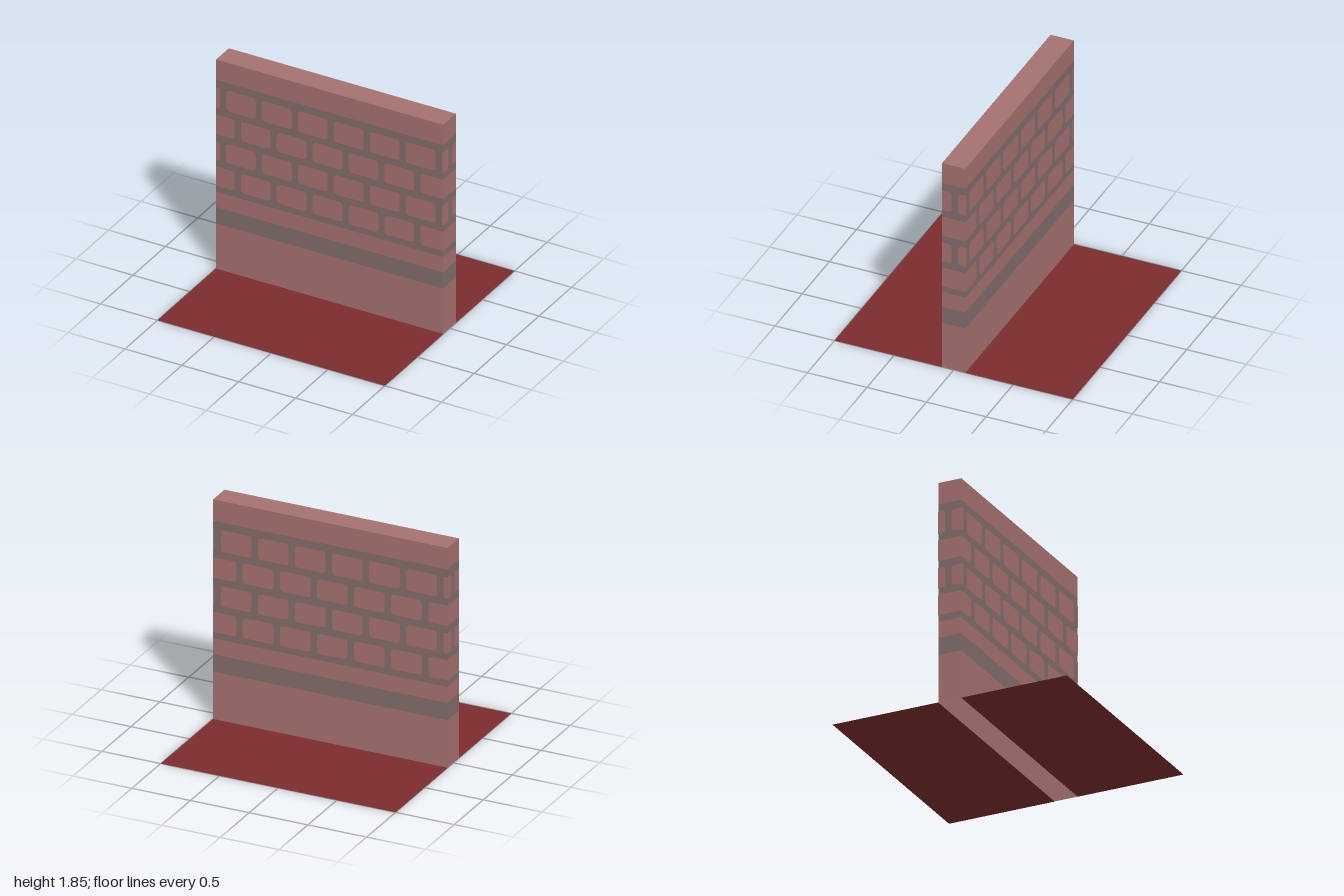
import * as THREE from 'three';

const W = 0.998, D = 0.098, LIFT = 0.002; // wall half width, half depth, brick face offset

// Upright open box: four sides, optionally with a top
function bandGeometry(y0, y1, capped) {
  const g = new THREE.BoxGeometry(2 * W, y1 - y0, 2 * D);
  g.translate(0, (y0 + y1) / 2, 0);
  const idx = Array.from(g.index.array);
  g.setIndex(idx.filter((_, i) => i < 12 || i >= 24 || (capped && i < 18)));
  g.clearGroups();
  return g;
}

// Brick outline; sides cut by a wall corner stay square
function brickShape(a, b, y0, y1, limit) {
  const l = a <= -limit ? 0 : Math.min(0.03, (b - a) / 2);
  const r = b >= limit ? 0 : Math.min(0.03, (b - a) / 2);
  const s = new THREE.Shape();
  s.moveTo(a + l, y0);
  s.lineTo(b - r, y0);
  if (r) s.quadraticCurveTo(b, y0, b, y0 + r);
  s.lineTo(b, y1 - r);
  if (r) s.quadraticCurveTo(b, y1, b - r, y1);
  s.lineTo(a + l, y1);
  if (l) s.quadraticCurveTo(a, y1, a, y1 - l);
  s.lineTo(a, y0 + l);
  if (l) s.quadraticCurveTo(a, y0, a + l, y0);
  return s;
}

export function createModel() {
  const model = new THREE.Group();
  const mat = (name, color) => {
    const m = new THREE.MeshStandardMaterial({ color, side: THREE.DoubleSide });
    m.name = name;
    return m;
  };
  const pink = mat('brickPink', 0xa5716f);
  const grey = mat('mortarGrey', 0x806c6a);
  const red = mat('floorRed', 0x7b2c2c);
  const add = (name, geometry, material, parent = model) => {
    const mesh = new THREE.Mesh(geometry, material);
    mesh.name = name;
    parent.add(mesh);
    return mesh;
  };

  // Hollow wall in stacked colour bands, open underneath
  const wall = new THREE.Group();
  wall.name = 'wall';
  model.add(wall);
  [
    ['wallBase', 0, 0.4, pink],
    ['lowerMortarBand', 0.4, 0.545, grey],
    ['brickLedge', 0.545, 0.68, pink],
    ['mortarField', 0.68, 1.67, grey],
    ['wallTop', 1.67, 1.85, pink],
  ].forEach(([name, y0, y1, m]) => add(name, bandGeometry(y0, y1, name === 'wallTop'), m, wall));

  // Four brick courses in running bond
  const courses = [[0.735, 0.905, 1], [0.963, 1.133, 0], [1.193, 1.365, 1], [1.423, 1.605, 0]];
  const faceShapes = [], endShapes = [];
  for (const [y0, y1, shifted] of courses) {
    const first = shifted ? -1.096 : -1.225;
    for (let i = 0; i < 8; i++) {
      const a = Math.max(-1, first + i * 0.316), b = Math.min(1, first + i * 0.316 + 0.261);
      if (b - a > 0.005) faceShapes.push(brickShape(a, b, y0, y1, 1));
    }
    const spans = shifted ? [[-0.1, 0.1]] : [[-0.1, -0.037], [0.017, 0.1]];
    for (const [a, b] of spans) endShapes.push(brickShape(a, b, y0, y1, 0.1));
  }
  const faceGeo = new THREE.ShapeGeometry(faceShapes, 4);
  const endGeo = new THREE.ShapeGeometry(endShapes, 4);
  endGeo.rotateY(-Math.PI / 2); // outline x becomes z

  // The same pattern lies on opposite sides, with normals turned outward
  const flipped = (g) => {
    const f = g.clone();
    f.setIndex(Array.from(f.index.array).reverse());
    f.computeVertexNormals();
    return f;
  };
  add('frontBricks', faceGeo, pink, wall).position.z = D + LIFT;
  add('backBricks', flipped(faceGeo), pink, wall).position.z = -D - LIFT;
  add('leftEndBricks', flipped(endGeo), pink, wall).position.x = W + LIFT;
  add('rightEndBricks', endGeo, pink, wall).position.x = -W - LIFT;

  // Flat floor on both sides of the wall
  for (const side of [1, -1]) {
    const g = new THREE.PlaneGeometry(2, 1 - D);
    g.rotateX(-Math.PI / 2);
    add(side > 0 ? 'frontFloor' : 'backFloor', g, red).position.z = side * (1 + D) / 2;
  }
  return model;
}
